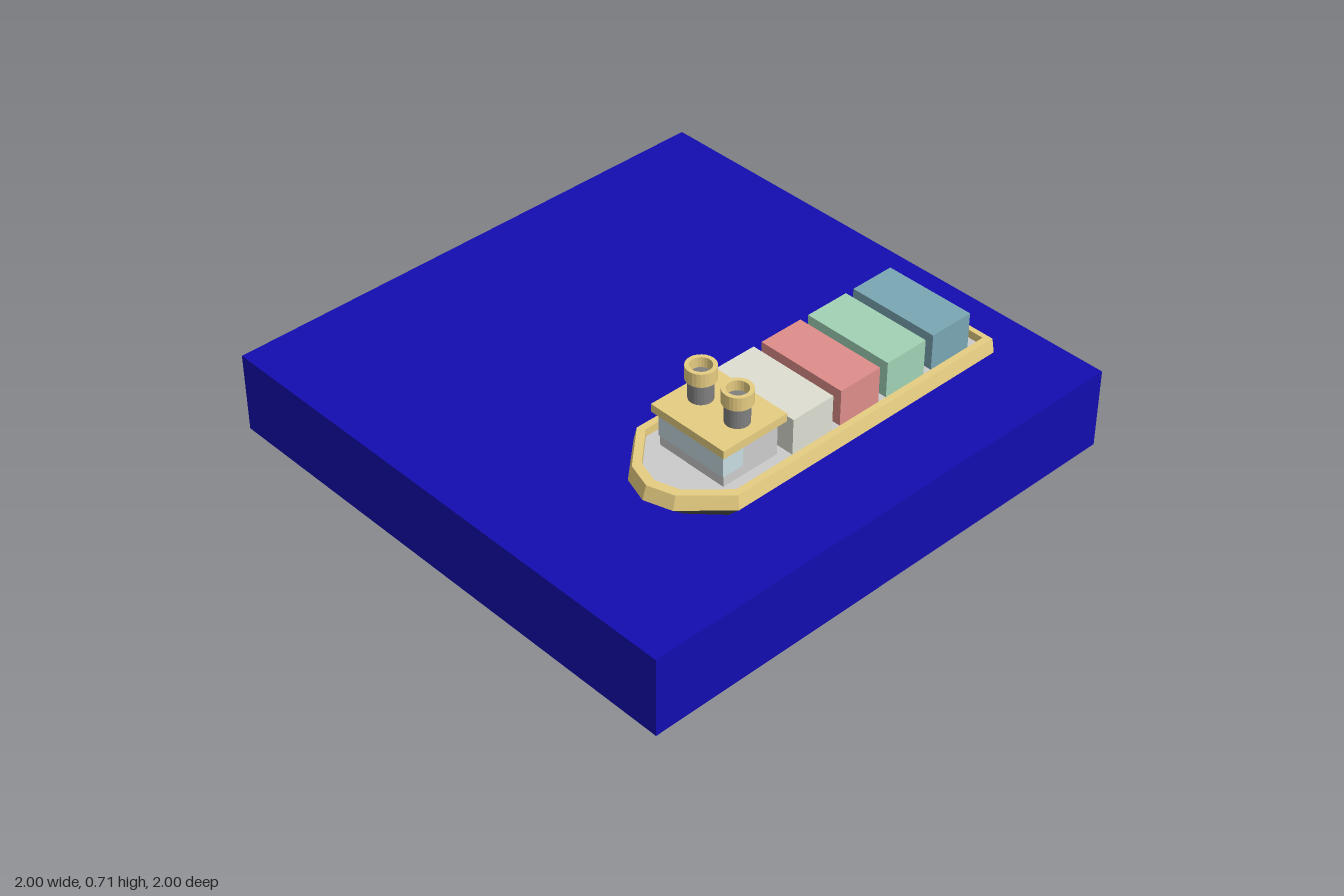
import * as THREE from 'three';

const mat = (color, side = THREE.FrontSide) =>
  new THREE.MeshStandardMaterial({ color, flatShading: true, side });

const TAN = mat(0xe6cd82);
const GREY = mat(0xcccccc);
const DARK = mat(0x50504c);
const FUNNEL = mat(0x808080);
const GLASS = mat(0xc8dce2);

// Ship-shaped outline at height y: half width, shoulder z, bow tip z, stern z
function outline([y, w, shoulder, tip, stern = -0.71]) {
  const kx = w * 0.43, kz = shoulder + (tip - shoulder) * 0.82;
  return [
    [0, y, tip], [kx, y, kz], [w, y, shoulder], [w, y, stern],
    [-w, y, stern], [-w, y, shoulder], [-kx, y, kz],
  ];
}

// Skin consecutive outlines together, optionally closing the last one
function loft(levels, cap = false) {
  const rings = levels.map(outline), pos = [];
  const n = rings[0].length;
  for (let r = 0; r < rings.length - 1; r++) {
    for (let i = 0; i < n; i++) {
      const j = (i + 1) % n, a = rings[r], b = rings[r + 1];
      pos.push(...a[i], ...a[j], ...b[j], ...a[i], ...b[j], ...b[i]);
    }
  }
  if (cap) {
    const t = rings[rings.length - 1];
    for (let i = 1; i < n - 1; i++) pos.push(...t[0], ...t[i], ...t[i + 1]);
  }
  const g = new THREE.BufferGeometry();
  g.setAttribute('position', new THREE.Float32BufferAttribute(pos, 3));
  g.computeVertexNormals();
  return g;
}

function add(parent, name, geometry, material, x = 0, y = 0, z = 0) {
  const m = new THREE.Mesh(geometry, material);
  m.name = name;
  m.position.set(x, y, z);
  parent.add(m);
  return m;
}

// Box given by its extents
function block(parent, name, material, [x0, x1], [y0, y1], [z0, z1]) {
  return add(parent, name, new THREE.BoxGeometry(x1 - x0, y1 - y0, z1 - z0), material,
    (x0 + x1) / 2, (y0 + y1) / 2, (z0 + z1) / 2);
}

export function createModel() {
  const model = new THREE.Group();
  model.name = 'shipOnWater';

  // Block of sea
  block(model, 'water', mat(0x130db0), [-1, 1], [0, 0.305], [-1, 1]);

  const ship = new THREE.Group();
  ship.name = 'ship';
  ship.position.x = 0.54;
  model.add(ship);

  // Hull flares out from the waterline to the rubbing edge
  add(ship, 'hull', loft([
    [0.28, 0.10, 0.37, 0.39],
    [0.305, 0.13, 0.395, 0.45],
    [0.34, 0.17, 0.425, 0.54],
    [0.41, 0.235, 0.445, 0.625],
  ]), DARK);

  // Bulwark: sloped outside, flat top, inner wall
  add(ship, 'bulwark', loft([
    [0.41, 0.235, 0.445, 0.625],
    [0.46, 0.225, 0.44, 0.61],
    [0.46, 0.2, 0.425, 0.575, -0.69],
    [0.43, 0.2, 0.425, 0.575, -0.69],
  ]), TAN);
  add(ship, 'deck', loft([[0.43, 0.2, 0.425, 0.575, -0.69]], true), GREY);

  // Bridge with wraparound window and overhanging roof
  block(ship, 'bridge', GREY, [-0.14, 0.14], [0.43, 0.56], [0.19, 0.42]);
  block(ship, 'bridgeWindow', GLASS, [-0.143, 0.143], [0.47, 0.56], [0.34, 0.425]);
  block(ship, 'bridgeRoof', TAN, [-0.16, 0.16], [0.56, 0.59], [0.17, 0.44]);

  // Pair of funnels with hollow collars
  const collar = new THREE.LatheGeometry(
    [[0.037, 0.665], [0.052, 0.665], [0.052, 0.715], [0.037, 0.715], [0.037, 0.665]]
      .map(([r, y]) => new THREE.Vector2(r, y)), 24);
  for (const x of [-0.08, 0.08]) {
    const funnel = new THREE.Group();
    funnel.name = x > 0 ? 'leftFunnel' : 'rightFunnel';
    funnel.position.set(x, 0, 0.305);
    ship.add(funnel);
    add(funnel, 'stack', new THREE.CylinderGeometry(0.042, 0.042, 0.09, 24), FUNNEL, 0, 0.632);
    add(funnel, 'collar', collar, mat(0xe6cd82, THREE.DoubleSide));
  }

  // Row of cargo containers
  [0xdedfd2, 0xde8e8a, 0xa2d2b6, 0x7aa6b4].forEach((color, i) => {
    const z = 0.07 - i * 0.21;
    block(ship, 'container', mat(color), [-0.175, 0.175], [0.43, 0.566], [z - 0.0875, z + 0.0875]);
  });

  // Stern plate closes the back of the hull
  const half = [[0.10, 0.28], [0.13, 0.305], [0.17, 0.34], [0.235, 0.41]];
  const stern = new THREE.Shape([
    ...half.map(([x, y]) => new THREE.Vector2(x, y)),
    ...half.slice().reverse().map(([x, y]) => new THREE.Vector2(-x, y)),
  ]);
  add(ship, 'sternPlate', new THREE.ShapeGeometry(stern), DARK, 0, 0, -0.711).rotation.y = Math.PI;

  return model;
}
